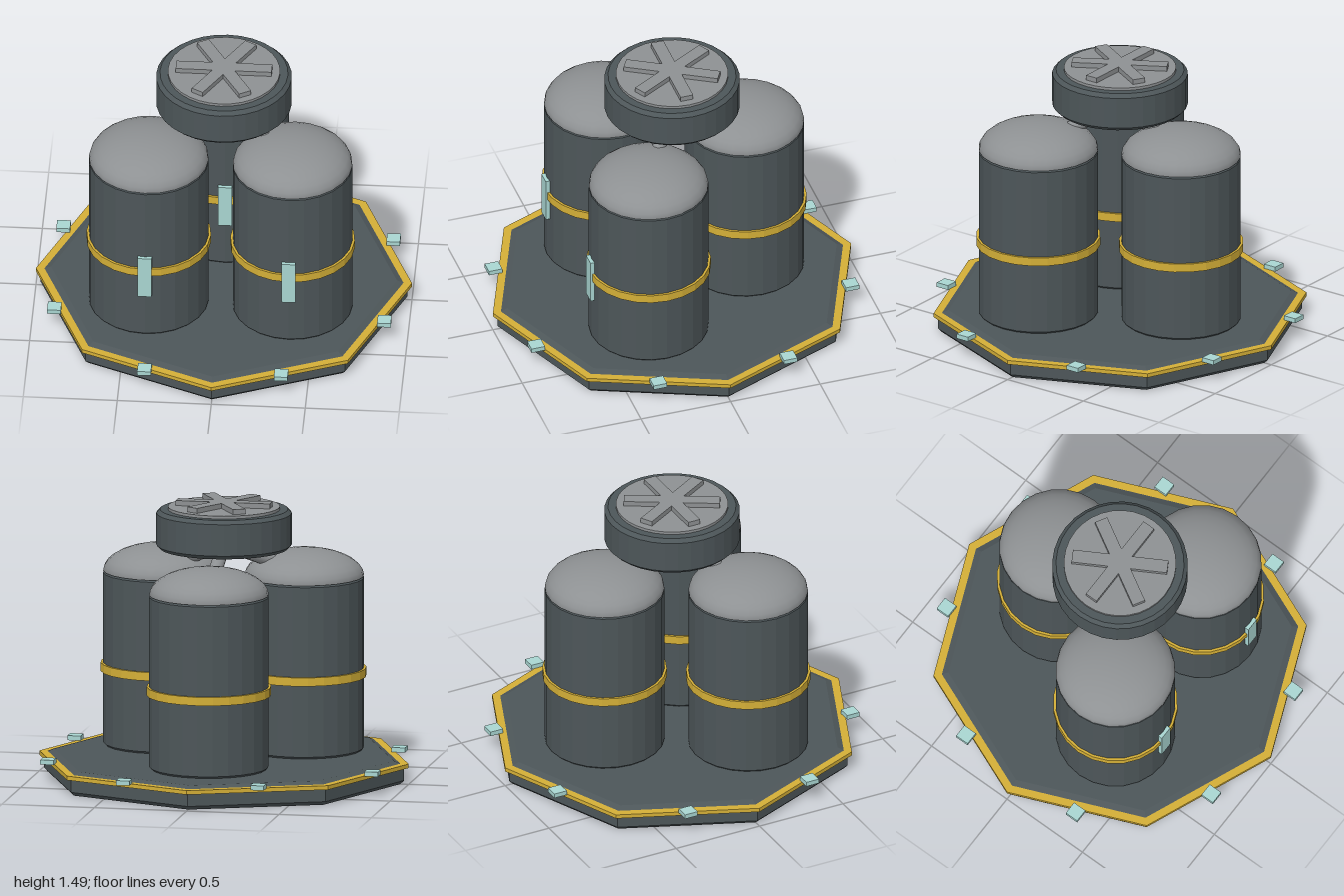
import * as THREE from 'three';

const mat = (name, color) => {
  const m = new THREE.MeshStandardMaterial({ color });
  m.name = name;
  return m;
};

export function createModel() {
  const darkMetal = mat('dark metal', 0x4d5659);
  const greyMetal = mat('grey metal', 0x8e9193);
  const yellow = mat('yellow trim', 0xd4af37);
  const paleCyan = mat('pale cyan light', 0xa9d6d2);

  const root = new THREE.Group();
  root.name = 'tankCluster';

  const add = (parent, name, geometry, material, x = 0, y = 0, z = 0) => {
    const mesh = new THREE.Mesh(geometry, material);
    mesh.name = name;
    mesh.position.set(x, y, z);
    parent.add(mesh);
    return mesh;
  };

  // Faceted solid of revolution; profile runs from bottom to top
  const turned = (profile, sides) => {
    const points = profile.map(([r, y]) => new THREE.Vector2(r, y));
    const g = new THREE.LatheGeometry(points, sides).toNonIndexed();
    g.computeVertexNormals();
    return g;
  };
  const drum = (r, y0, y1, bevel, sides) => turned([
    [0, y0], [r - bevel, y0], [r, y0 + bevel],
    [r, y1 - bevel], [r - bevel, y1], [0, y1],
  ], sides);

  // Octagonal base with a yellow rim
  add(root, 'basePlate', turned([
    [0, 0], [0.955, 0], [0.975, 0.02], [0.975, 0.1], [0.955, 0.11], [0.92, 0.124], [0, 0.124],
  ], 8), darkMetal);
  add(root, 'baseRim', turned([
    [0.95, 0.088], [1, 0.088], [1, 0.11], [0.95, 0.11],
  ], 8), yellow);

  // Marker lights at the middle of each rim edge
  for (let i = 0; i < 8; i++) {
    const a = (i + 0.5) * Math.PI / 4;
    add(root, 'rimLight', new THREE.BoxGeometry(0.073, 0.025, 0.075), paleCyan,
      0.95 * Math.sin(a), 0.122, 0.95 * Math.cos(a));
  }

  // Three domed tanks, each with a band, a light strip and a strut
  const tankR = 0.318;
  const hub = new THREE.Vector3(0, 1.26, 0);
  for (const [x, z] of [[-0.3825, 0.256], [0.3825, 0.256], [0, -0.404]]) {
    const tank = new THREE.Group();
    tank.name = 'tank';
    tank.position.set(x, 0, z);
    root.add(tank);

    add(tank, 'tankBody', drum(tankR, 0.12, 1.065, 0.015, 24), darkMetal);
    const dome = new THREE.SphereGeometry(tankR, 24, 8, 0, Math.PI * 2, 0, Math.PI / 2);
    dome.scale(1, 0.145 / tankR, 1);
    add(tank, 'tankDome', dome, greyMetal, 0, 1.06, 0);
    add(tank, 'tankBand', turned([
      [0.3, 0.52], [0.331, 0.52], [0.331, 0.566], [0.3, 0.566],
    ], 24), yellow);
    add(tank, 'lightStrip', new THREE.BoxGeometry(0.075, 0.25, 0.03), paleCyan, 0, 0.515, 0.321);

    const foot = new THREE.Vector3(x, 1.08, z);
    const dir = hub.clone().sub(foot);
    const strut = add(root, 'strut', new THREE.CylinderGeometry(0.037, 0.037, dir.length(), 12), greyMetal);
    strut.position.copy(foot).add(hub).multiplyScalar(0.5);
    strut.quaternion.setFromUnitVectors(new THREE.Vector3(0, 1, 0), dir.normalize());
  }

  // Round head with a grey cap and a six-spoke star
  const head = new THREE.Group();
  head.name = 'head';
  root.add(head);
  add(head, 'headDrum', drum(0.36, 1.24, 1.45, 0.02, 32), darkMetal);
  add(head, 'headCap', new THREE.CylinderGeometry(0.298, 0.298, 0.03, 32), greyMetal, 0, 1.45, 0);

  // Single star outline, so the spokes never overlap
  const star = new THREE.Shape();
  const half = 0.035;
  for (let i = 0; i < 6; i++) {
    const a = i * Math.PI / 3;
    const at = (u, v) => [u * Math.cos(a) - v * Math.sin(a), u * Math.sin(a) + v * Math.cos(a)];
    const corners = [at(0.255, -half), at(0.255, half), at(half * Math.sqrt(3), half)];
    corners.forEach(([px, py], k) => (i + k === 0 ? star.moveTo(px, py) : star.lineTo(px, py)));
  }
  star.closePath();
  const starGeometry = new THREE.ExtrudeGeometry(star, { depth: 0.03, bevelEnabled: false });
  starGeometry.rotateX(-Math.PI / 2);
  add(head, 'spokeStar', starGeometry, greyMetal, 0, 1.462, 0);

  return root;
}
